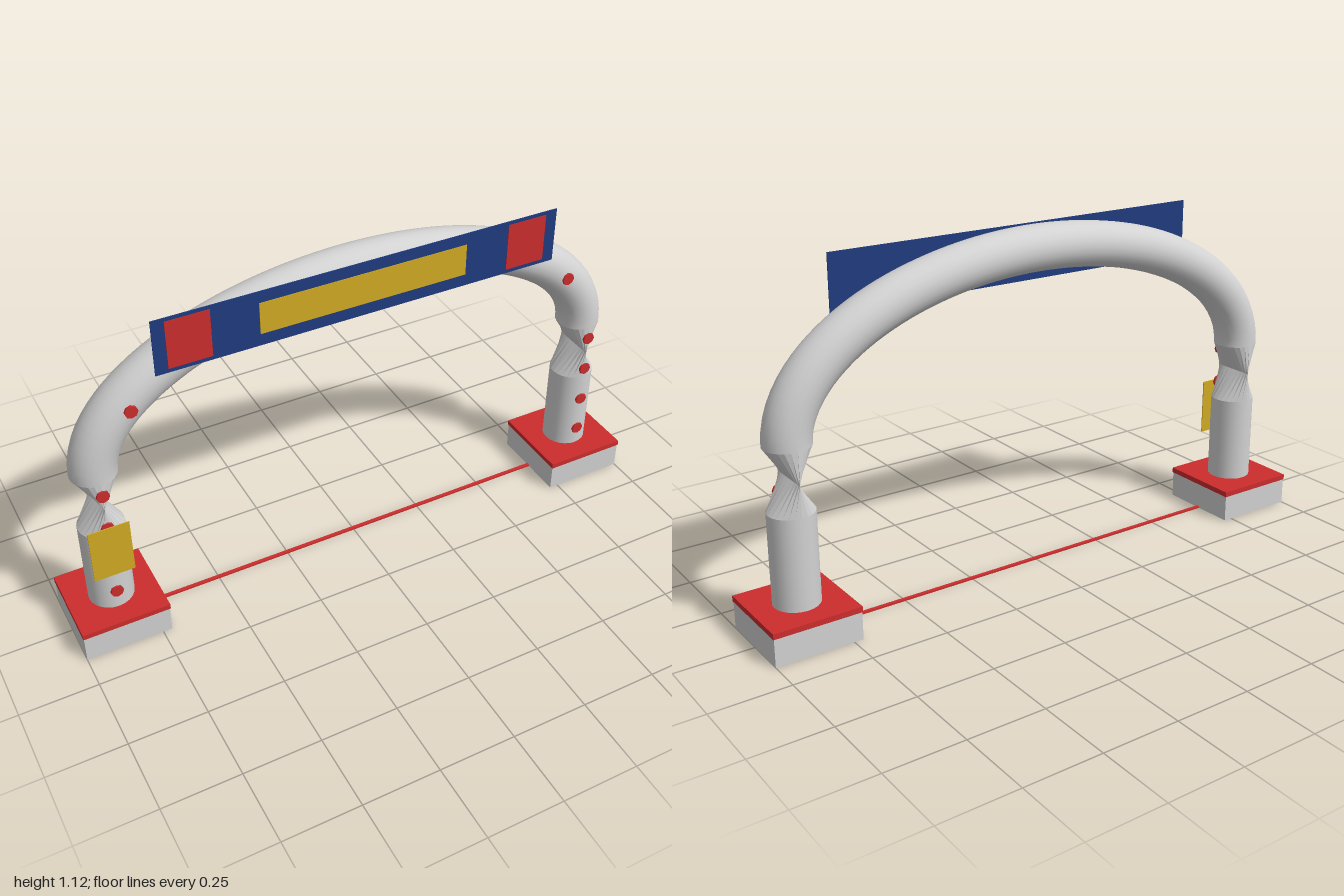
import * as THREE from 'three';

const mat = (name, color) => new THREE.MeshStandardMaterial({ name, color });

export function createModel() {
  const group = new THREE.Group();
  const grey = mat('light grey', 0xd2d2d2);
  const red = mat('red', 0xcc2d2d);
  const blue = mat('navy blue', 0x1f3b80);
  const yellow = mat('golden yellow', 0xd1ab22);

  const LEG_X = 0.86, R = 0.073, ARCH_Y = 0.6, RISE = 0.452;

  const add = (name, geometry, material, x = 0, y = 0, z = 0) => {
    const mesh = new THREE.Mesh(geometry, material);
    mesh.name = name;
    mesh.position.set(x, y, z);
    group.add(mesh);
    return mesh;
  };
  // Box given by its width, height and depth, centred on x, y, z
  const box = (name, w, h, d, material, x, y, z) =>
    add(name, new THREE.BoxGeometry(w, h, d), material, x, y, z);

  // Half-ellipse arch tube
  class ArchCurve extends THREE.Curve {
    getPoint(t, target = new THREE.Vector3()) {
      const a = Math.PI * (1 - t);
      return target.set(LEG_X * Math.cos(a), ARCH_Y + RISE * Math.sin(a), 0);
    }
  }
  add('archTube', new THREE.TubeGeometry(new ArchCurve(), 64, R, 24), grey);

  // Pinched joint: round at both ends, squeezed flat in x at the middle
  const pinchGeometry = () => {
    const cylinder = new THREE.CylinderGeometry(R, R, 0.2, 24, 2, true);
    const p = cylinder.attributes.position;
    for (let i = 0; i < p.count; i++) {
      const squeeze = Math.max(0.03, Math.abs(p.getY(i)) / 0.1);
      p.setX(i, p.getX(i) * squeeze);
    }
    const faceted = cylinder.toNonIndexed();
    faceted.computeVertexNormals();
    return faceted;
  };

  // Heights of the dots on the legs, then dots on the arch
  const dots = [[LEG_X, 0.175], [LEG_X, 0.305], [LEG_X, 0.435], [LEG_X, 0.56], [0.745, 0.83], [0.435, 0.99]];
  const dotGeometry = new THREE.CylinderGeometry(0.021, 0.021, 0.008, 8).rotateX(Math.PI / 2);

  for (const [side, s] of [['left', 1], ['right', -1]]) {
    box(side + 'Base', 0.28, 0.09, 0.28, grey, s * LEG_X, 0.045, 0);
    box(side + 'BaseTop', 0.284, 0.018, 0.284, red, s * LEG_X, 0.099, 0);
    add(side + 'Leg', new THREE.CylinderGeometry(R, R, 0.3, 24), grey, s * LEG_X, 0.25, 0);
    add(side + 'PinchedJoint', pinchGeometry(), grey, s * LEG_X, 0.5, 0);
    for (const [x, y] of dots) add(side + 'Dot', dotGeometry, red, s * x, y, 0.0745);
    box(side + 'BannerPanel', 0.135, 0.157, 0.002, red, s * 0.558, 1.022, 0.0825);
  }

  // Banner across the top of the arch
  box('banner', 1.33, 0.182, 0.003, blue, 0, 1.021, 0.08);
  box('bannerStripe', 0.684, 0.104, 0.002, yellow, 0, 1.022, 0.0825);

  // Sign on the right leg
  box('legSign', 0.13, 0.19, 0.003, yellow, -LEG_X, 0.346, 0.0805);

  // Line on the ground between the bases
  box('groundLine', 1.46, 0.006, 0.012, red, 0, 0.003, 0);

  return group;
}
